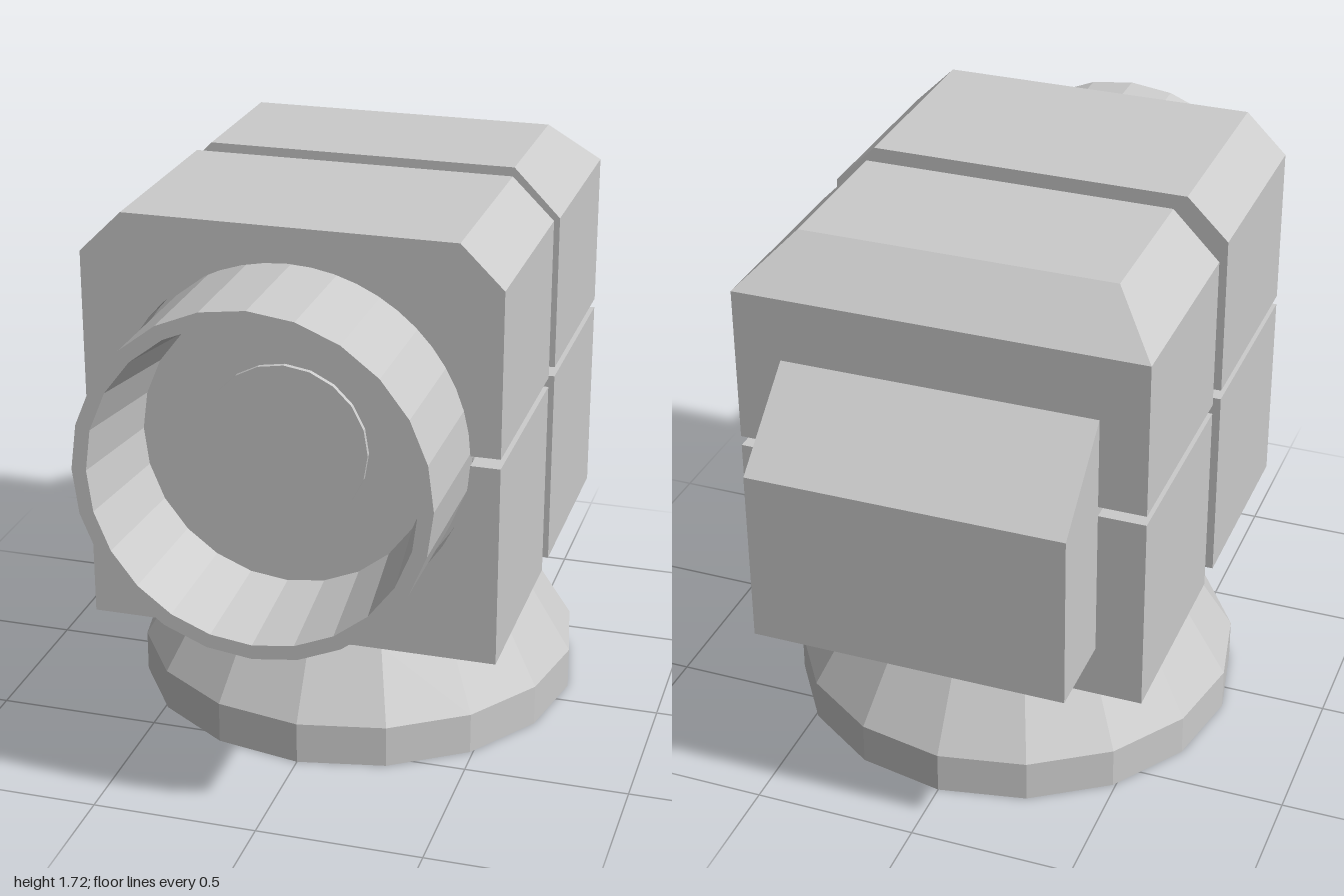
import * as THREE from 'three';

const material = new THREE.MeshStandardMaterial({ color: 0xcccccc, flatShading: true });

function add(group, name, geometry, x = 0, y = 0, z = 0) {
  const mesh = new THREE.Mesh(geometry, material);
  mesh.name = name;
  mesh.position.set(x, y, z);
  group.add(mesh);
  return mesh;
}

const lathe = (points, sides) =>
  new THREE.LatheGeometry(points.map(([r, y]) => new THREE.Vector2(r, y)), sides);

const W = 0.617;          // half width of the housing
const AXIS = 1.08;        // height of the barrel axis
const HOLE = 0.53;        // radius of the barrel opening
const A = 0.028;          // angle where the opening meets the seam

// Front shell half: outline with a half-round cut for the barrel
function frontShell(outline, start, end) {
  const shape = new THREE.Shape();
  outline.forEach(([x, y], i) => (i ? shape.lineTo(x, y) : shape.moveTo(x, y)));
  shape.absarc(0, AXIS, HOLE, start, end, true);
  return new THREE.ExtrudeGeometry(shape, { depth: 0.64, bevelEnabled: false, curveSegments: 12 });
}

export function createModel() {
  const model = new THREE.Group();
  model.name = 'cameraHead';

  // Flared hollow base with a neck reaching into the housing
  add(model, 'base', lathe([
    [0, 0.45], [0.475, 0.45], [0.475, 0.32], [0.69, 0], [0.695, 0], [0.695, 0.13],
    [0.565, 0.34], [0.565, 0.67], [0, 0.67],
  ], 16), 0, 0, -0.095);

  // Inner core seen through the seams
  add(model, 'core', new THREE.BoxGeometry(1.03, 0.97, 1.2), 0, 1.115, -0.06);

  // Front shells
  add(model, 'frontUpperShell', frontShell([
    [W, 1.095], [W, 1.59], [0.49, 1.715], [-0.49, 1.715], [-W, 1.59], [-W, 1.095],
  ], Math.PI - A, A));
  add(model, 'frontLowerShell', frontShell([
    [-W, 1.065], [-W, 0.45], [W, 0.45], [W, 1.065],
  ], -A, -Math.PI + A));

  // Rear shells; the upper one is chamfered at both sides and the back
  add(model, 'rearLowerShell', new THREE.BoxGeometry(2 * W, 0.615, 0.64), 0, 0.7575, -0.41);
  const upper = new THREE.BoxGeometry(2 * W, 0.62, 0.64, 1, 2, 1).translate(0, 1.405, -0.41);
  const p = upper.attributes.position;
  for (let i = 0; i < p.count; i++) {
    if (p.getY(i) > 1.7) {
      p.setX(i, Math.sign(p.getX(i)) * 0.475);
      if (p.getZ(i) < -0.4) p.setZ(i, -0.575);
    } else if (p.getY(i) > 1.2) {
      p.setY(i, 1.57);
    }
  }
  upper.computeVertexNormals();
  add(model, 'rearUpperShell', upper);

  // Rear pack with a sloping top, drawn from the side and extruded across
  const side = new THREE.Shape([
    [0.6, 0.61], [1, 0.61], [1, 1.145], [0.73, 1.375], [0.6, 1.375],
  ].map(([z, y]) => new THREE.Vector2(z, y)));
  const pack = new THREE.ExtrudeGeometry(side, { depth: 0.95, bevelEnabled: false });
  pack.translate(0, 0, -0.475).rotateY(Math.PI / 2);
  add(model, 'rearPack', pack);

  // Barrel with a tapered bore and a floor
  const barrel = lathe([
    [0, 0.5], [0.518, 0.5], [0.518, 1], [0.475, 1], [0.43, 0.67], [0, 0.67],
  ], 24);
  add(model, 'barrel', barrel.rotateX(Math.PI / 2), 0, AXIS, 0);

  // Lens disc on the barrel floor
  const lens = new THREE.CylinderGeometry(0.245, 0.245, 0.03, 20).rotateX(Math.PI / 2);
  add(model, 'lens', lens, 0, AXIS, 0.67);

  return model;
}
